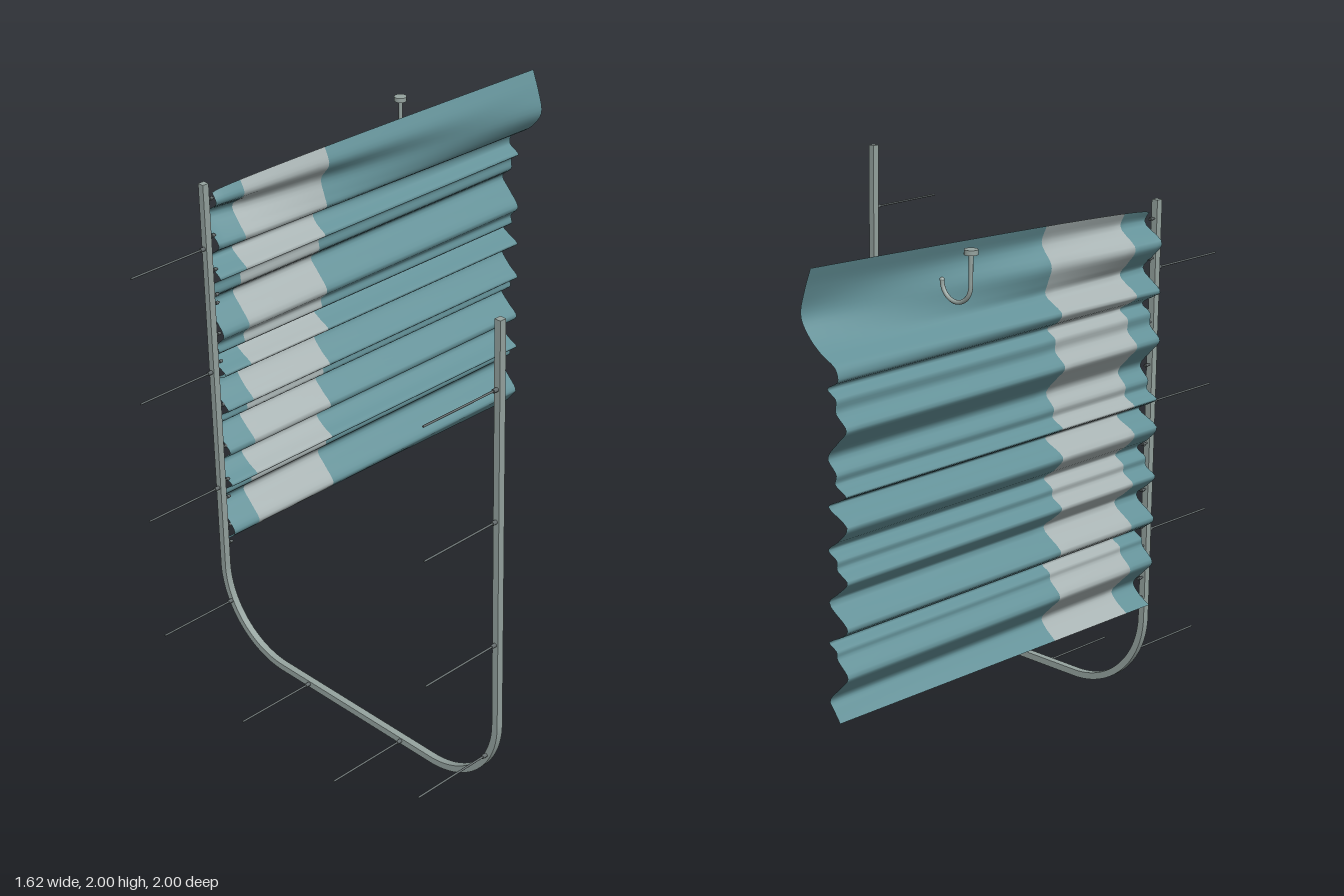
import * as THREE from 'three';

const mat = (name, color) => {
  const m = new THREE.MeshStandardMaterial({ color });
  m.name = name;
  return m;
};

export function createModel() {
  const root = new THREE.Group();
  root.name = 'curtainOnRail';
  const teal = mat('teal cloth', 0x649299);
  const pale = mat('pale cloth', 0xa9b4b4);
  teal.side = pale.side = THREE.DoubleSide;
  const railGrey = mat('rail grey', 0x95a39f);
  const steel = mat('dark steel', 0x626a6b);

  const add = (name, geo, m, parent = root) => {
    const mesh = new THREE.Mesh(geo, m);
    mesh.name = name;
    parent.add(mesh);
    return mesh;
  };
  // cylinder lying along z between two depths
  const rodZ = (name, x, y, z0, z1, r, parent) => {
    const g = new THREE.CylinderGeometry(r, r, z1 - z0, 10).rotateX(Math.PI / 2);
    add(name, g, steel, parent).position.set(x, y, (z0 + z1) / 2);
  };

  // U-shaped rail with rounded corners
  const L = -0.707, R = 0.793, W = 0.0135, rad = 0.335, base = 0.0135;
  const rail = new THREE.Shape();
  const cy = base + rad, lx = L + rad, rx = R - rad;
  rail.moveTo(L - W, 2);
  rail.lineTo(L - W, cy);
  rail.absarc(lx, cy, rad + W, Math.PI, Math.PI * 1.5, false);
  rail.absarc(rx, cy, rad + W, Math.PI * 1.5, Math.PI * 2, false);
  rail.lineTo(R + W, 2);
  rail.lineTo(R - W, 2);
  rail.lineTo(R - W, cy);
  rail.absarc(rx, cy, rad - W, 0, -Math.PI / 2, true);
  rail.absarc(lx, cy, rad - W, -Math.PI / 2, -Math.PI, true);
  rail.lineTo(L + W, 2);
  const railGeo = new THREE.ExtrudeGeometry(rail, { depth: 0.027, bevelEnabled: false, curveSegments: 24 });
  add('rail', railGeo, railGrey).position.z = 0.629;

  // suspension rods with collars
  const rods = new THREE.Group();
  rods.name = 'suspensionRods';
  root.add(rods);
  const spots = [[-0.215, 0.015], [0.3, 0.015]];
  for (const y of [1.74, 1.22, 0.705]) spots.push([L, y], [R, y]);
  spots.push([L + 0.042, 0.195], [R - 0.042, 0.195]);
  for (const [x, y] of spots) {
    rodZ('suspensionRod', x, y, 0.65, 1, 0.004, rods);
    rodZ('rodCollar', x, y, 0.654, 0.675, 0.008, rods);
  }

  // cloth profile, top to bottom: [front x, front y, back x, back y]
  const upper = [
    [-0.7, 1.955, -0.605, 2.0], [-0.68, 1.915, -0.575, 1.92], [-0.765, 1.85, -0.555, 1.83],
    [-0.72, 1.79, -0.595, 1.765], [-0.678, 1.74, -0.65, 1.72], [-0.765, 1.665, -0.72, 1.68],
  ];
  const lower = [
    [-0.73, 1.64], [-0.68, 1.605], [-0.72, 1.575], [-0.72, 1.53], [-0.77, 1.48],
    [-0.73, 1.43], [-0.68, 1.365], [-0.72, 1.315], [-0.715, 1.28], [-0.765, 1.25],
    [-0.73, 1.225], [-0.68, 1.195], [-0.77, 1.14], [-0.73, 1.085], [-0.678, 1.04], [-0.72, 1.01],
    [-0.72, 0.98], [-0.77, 0.945], [-0.73, 0.9], [-0.68, 0.85], [-0.77, 0.775],
    [-0.73, 0.735], [-0.678, 0.705], [-0.715, 0.68], [-0.718, 0.655], [-0.77, 0.6],
    [-0.73, 0.55], [-0.68, 0.49], [-0.7, 0.46],
  ];
  const rows = [...upper, ...lower.map(([x, y]) => [x, y, x, y]), [-0.76, 0.42, -0.73, 0.42]];
  const N = 150;
  const spline = (ix, iy) =>
    new THREE.CatmullRomCurve3(rows.map(r => new THREE.Vector3(r[ix], r[iy], 0)), false, 'centripetal').getPoints(N);
  const front = spline(0, 1), back = spline(2, 3);
  const Z0 = 0.61, Z1 = -1;

  // one panel of cloth swept between two depths
  const panel = (za, zb, cols) => {
    const pos = [], idx = [];
    for (let j = 0; j <= N; j++) {
      for (let i = 0; i <= cols; i++) {
        const z = za + (zb - za) * i / cols;
        const t = (Z0 - z) / (Z0 - Z1);
        const ty = Math.sqrt(t);
        pos.push(
          THREE.MathUtils.lerp(front[j].x, back[j].x, t),
          THREE.MathUtils.lerp(front[j].y, back[j].y, ty), z);
        if (j < N && i < cols) {
          const a = j * (cols + 1) + i, b = a + cols + 1;
          idx.push(a, b, b + 1, a, b + 1, a + 1);
        }
      }
    }
    const g = new THREE.BufferGeometry();
    g.setAttribute('position', new THREE.Float32BufferAttribute(pos, 3));
    g.setIndex(idx);
    g.computeVertexNormals();
    return g;
  };
  const curtain = new THREE.Group();
  curtain.name = 'curtain';
  root.add(curtain);
  add('curtainHeading', panel(Z0, 0.48, 6), teal, curtain);
  add('curtainMeshBand', panel(0.48, 0.08, 8), pale, curtain);
  add('curtainBody', panel(0.08, Z1, 16), teal, curtain);

  // gliders joining the cloth to the rail
  const gliders = new THREE.Group();
  gliders.name = 'gliders';
  root.add(gliders);
  for (const y of [1.93, 1.78, 1.64, 1.535, 1.5, 1.37, 1.25, 1.06, 0.875, 0.725, 0.645, 0.515, 0.435]) {
    rodZ('gliderStem', L, y, 0.6, 0.632, 0.004, gliders);
    rodZ('gliderBead', L, y, 0.606, 0.616, 0.007, gliders);
  }

  // tie-back hook with a round mounting plate
  const hook = new THREE.Group();
  hook.name = 'tieBackHook';
  hook.position.set(-0.785, 0, -0.43);
  root.add(hook);
  const path = new THREE.CurvePath();
  const V = (x, y) => new THREE.Vector3(x, y, 0);
  const bend = [];
  for (let i = 0; i <= 12; i++) {
    const a = Math.PI * (1 + i / 12);
    bend.push(V(0.068 + 0.068 * Math.cos(a), 1.872 + 0.068 * Math.sin(a)));
  }
  path.add(new THREE.LineCurve3(V(0, 1.985), V(0, 1.872)));
  path.add(new THREE.CatmullRomCurve3(bend));
  add('hookRod', new THREE.TubeGeometry(path, 40, 0.008, 10), railGrey, hook);
  add('hookTip', new THREE.SphereGeometry(0.009, 10, 8), railGrey, hook).position.set(0.136, 1.872, 0);
  add('hookPlate', new THREE.CylinderGeometry(0.025, 0.025, 0.018, 20), railGrey, hook).position.y = 1.991;

  return root;
}
